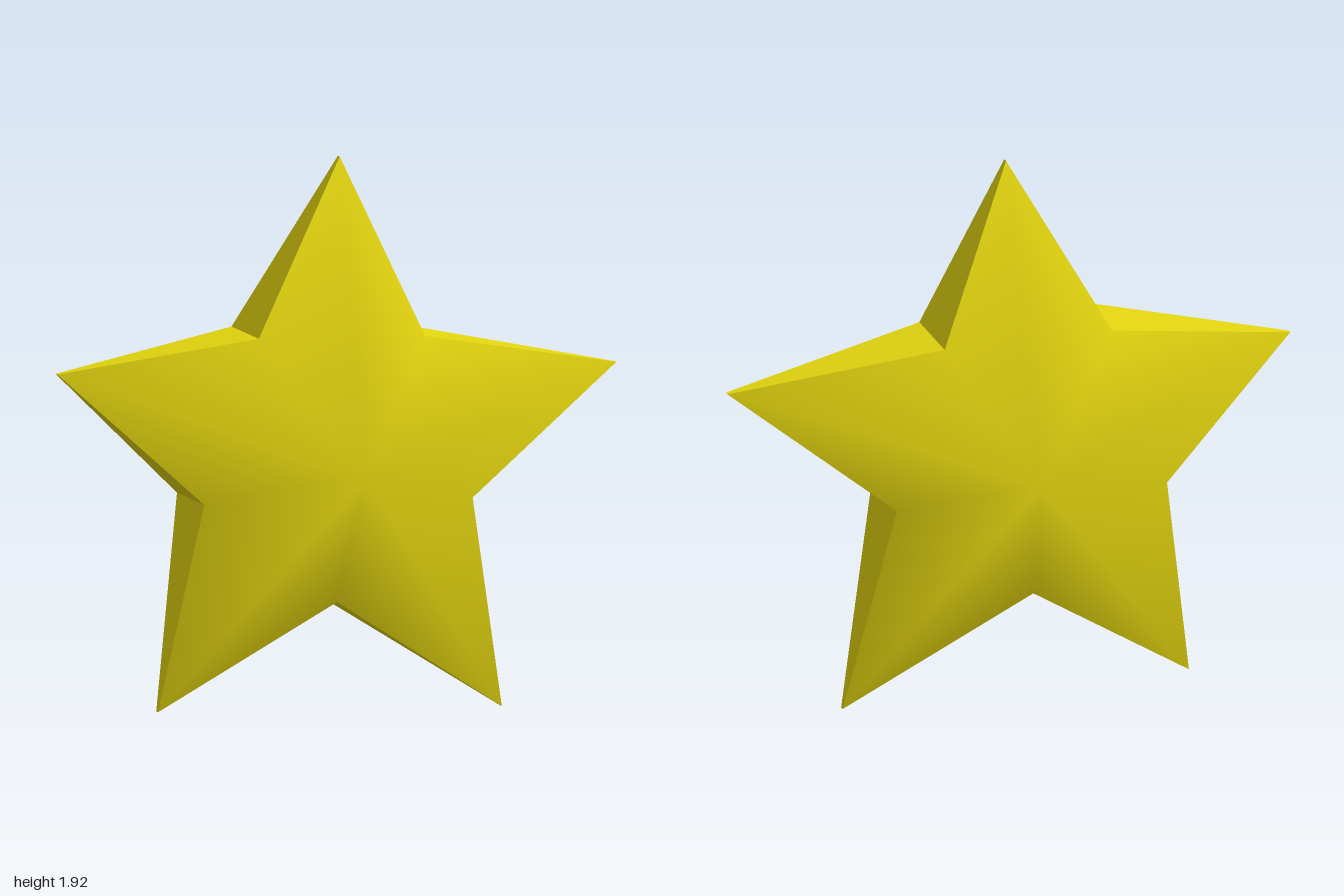
import * as THREE from 'three';

// Star outline, counter-clockwise from the top: tips and notches alternate
const OUTLINE = [
  [0.01, 1.92], [-0.325, 1.325], [-1, 1.21], [-0.52, 0.76], [-0.64, 0.03],
  [-0.045, 0.405], [0.59, 0], [0.44, 0.745], [1, 1.17], [0.27, 1.31],
];
const CENTRE = [-0.008, 0.867];
const PEAK_Z = 0.382, NOTCH_Z = 0.157, TIP_Z = 0.01;
const N = OUTLINE.length;
const rimZ = (i) => (i % 2 ? NOTCH_Z : TIP_Z);

function makeGeometry(positions, index) {
  const geo = new THREE.BufferGeometry();
  geo.setAttribute('position', new THREE.Float32BufferAttribute(positions, 3));
  geo.setIndex(index);
  return geo;
}

// Smooth fan from the raised centre to the outline; side is +1 front, -1 back
function faceGeometry(side) {
  const positions = [...CENTRE, side * PEAK_Z];
  const index = [];
  OUTLINE.forEach(([x, y], i) => {
    positions.push(x, y, side * rimZ(i));
    const a = 1 + i, b = 1 + ((i + 1) % N);
    index.push(0, ...(side > 0 ? [a, b] : [b, a]));
  });
  const geo = makeGeometry(positions, index);
  geo.computeVertexNormals();
  return geo;
}

// Flat tapering walls joining the front outline to the back outline
function rimGeometry() {
  const positions = [], index = [];
  OUTLINE.forEach(([x, y], i) => {
    const j = (i + 1) % N, [u, v] = OUTLINE[j], k = i * 4;
    positions.push(x, y, rimZ(i), x, y, -rimZ(i), u, v, -rimZ(j), u, v, rimZ(j));
    index.push(k, k + 1, k + 2, k, k + 2, k + 3);
  });
  const geo = makeGeometry(positions, index);
  geo.computeVertexNormals();
  return geo;
}

export function createModel() {
  const star = new THREE.Group();
  star.name = 'star';
  const yellow = new THREE.MeshStandardMaterial({ color: 0xe4d60f });
  yellow.name = 'yellow';

  const add = (name, geometry) => {
    const mesh = new THREE.Mesh(geometry, yellow);
    mesh.name = name;
    star.add(mesh);
  };
  add('frontFace', faceGeometry(1));
  add('backFace', faceGeometry(-1));
  add('rim', rimGeometry());
  return star;
}
